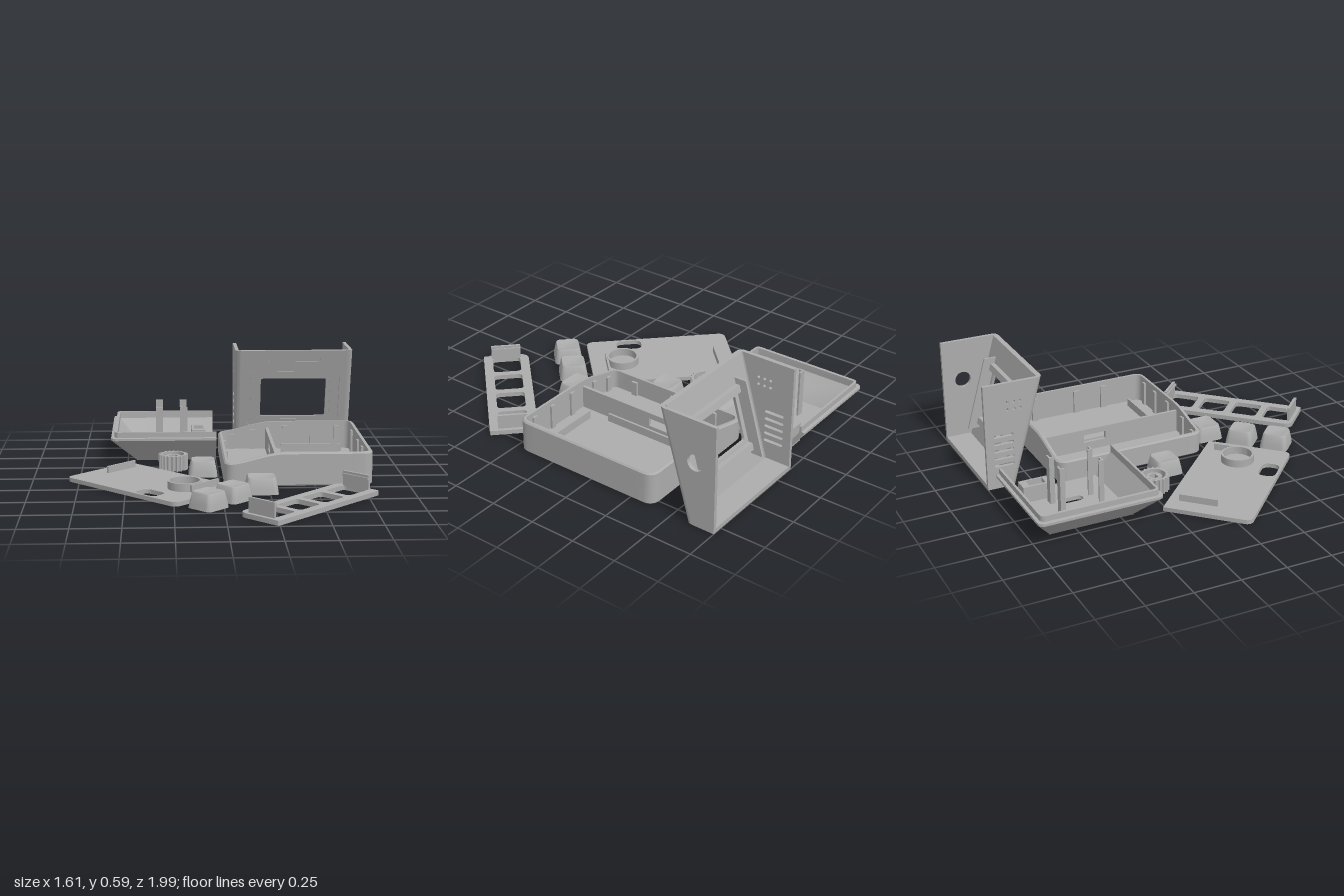
import * as THREE from 'three';
import { toCreasedNormals } from 'three/addons/utils/BufferGeometryUtils.js';

const grey = new THREE.MeshStandardMaterial({ color: 0xacacac, side: THREE.DoubleSide });
grey.name = 'plain grey';

function add(parent, name, geo, x = 0, y = 0, z = 0) {
  const m = new THREE.Mesh(geo, grey);
  m.name = name;
  m.position.set(x, y, z);
  parent.add(m);
  return m;
}
function group(parent, name, x = 0, z = 0, ry = 0) {
  const g = new THREE.Group();
  g.name = name;
  g.position.set(x, 0, z);
  g.rotation.y = ry;
  parent.add(g);
  return g;
}
// box standing on height y0
const block = (p, name, w, h, d, x, y0, z) => add(p, name, new THREE.BoxGeometry(w, h, d), x, y0 + h / 2, z);

// rounded rectangle outline; r is one radius or one per corner (++, -+, --, +-)
function outline(cx, cy, w, h, r, seg = 5) {
  const pts = [], sx = [1, -1, -1, 1], sy = [1, 1, -1, -1];
  for (let c = 0; c < 4; c++) {
    const q = Array.isArray(r) ? r[c] : r;
    for (let i = 0; i <= seg; i++) {
      const a = (c + i / seg) * Math.PI / 2;
      pts.push(new THREE.Vector2(cx + sx[c] * (w / 2 - q) + q * Math.cos(a), cy + sy[c] * (h / 2 - q) + q * Math.sin(a)));
    }
  }
  return pts;
}
// split long edges so a curved height can follow them
function subdivide(pts, n) {
  return pts.flatMap((p, i) => {
    const q = pts[(i + 1) % pts.length];
    return p.distanceTo(q) < 0.1 ? [p] : Array.from({ length: n }, (_, k) => p.clone().lerp(q, k / n));
  });
}
function shape(pts, holes = []) {
  const s = new THREE.Shape(pts);
  holes.forEach(h => s.holes.push(new THREE.Path(h)));
  return s;
}
const solid = (s, depth) => toCreasedNormals(new THREE.ExtrudeGeometry(s, { depth, bevelEnabled: false, curveSegments: 24 }), 0.6);
// flat slab lying on y = 0 (shape y becomes z)
const slab = (s, h) => solid(s, h).rotateX(Math.PI / 2).translate(0, h, 0);

// skin through cross-sections of equal point count
function loft(rings, { closed = true, start = false, end = false } = {}) {
  const n = rings[0].length, pos = [];
  const tri = (...v) => v.forEach(p => pos.push(p.x, p.y, p.z));
  for (let i = 0; i + 1 < rings.length; i++) {
    for (let j = 0; j < (closed ? n : n - 1); j++) {
      const k = (j + 1) % n, a = rings[i], b = rings[i + 1];
      tri(a[j], b[j], a[k]);
      tri(b[j], b[k], a[k]);
    }
  }
  const fan = (r, flip) => {
    const c = r.reduce((s, p) => s.add(p), new THREE.Vector3()).divideScalar(n);
    r.forEach((p, j) => flip ? tri(c, r[(j + 1) % n], p) : tri(c, p, r[(j + 1) % n]));
  };
  if (start) fan(rings[0], false);
  if (end) fan(rings[rings.length - 1], true);
  const g = new THREE.BufferGeometry();
  g.setAttribute('position', new THREE.Float32BufferAttribute(pos, 3));
  return toCreasedNormals(g, 0.6);
}
const at = (pts, y) => pts.map(p => new THREE.Vector3(p.x, typeof y === 'function' ? y(p.x) : y, p.y));

// open tray with a stepped rim, divider, ribs and clips
function buildBase(root) {
  const g = group(root, 'baseTray');
  const top = x => 0.125 + 0.056 * THREE.MathUtils.smoothstep(x, 0.03, 0.34);
  const ring = (inset, y) => at(subdivide(outline(0.415, -0.21, 0.79 - 2 * inset, 0.86 - 2 * inset, 0.055 - inset), 14), y);
  add(g, 'trayShell', loft([ring(0.008, 0), ring(0, 0.008), ring(0, x => top(x) - 0.008), ring(0.008, top),
    ring(0.022, top), ring(0.022, 0.02)], { start: true, end: true }));
  const wall = shape(outline(-0.21, 0.08, 0.82, 0.13, 0), [outline(-0.31, 0.09, 0.13, 0.045, 0)]);
  add(g, 'divider', solid(wall, 0.018).rotateY(-Math.PI / 2), 0.314, 0, 0);
  for (const z of [-0.53, 0.1]) block(g, 'floorRib', 0.35, 0.05, 0.012, 0.555, 0.015, z);
  block(g, 'floorRib', 0.012, 0.05, 0.43, 0.342, 0.015, -0.215);
  for (const x of [0.1, 0.22, 0.41, 0.57, 0.71])
    for (const z of [-0.615, 0.195]) block(g, 'clip', 0.03, top(x) - 0.04, 0.018, x, 0.015, z);
  for (const z of [-0.47, -0.21, -0.04]) block(g, 'clip', 0.018, 0.14, 0.035, 0.785, 0.015, z);
  for (const z of [-0.47, -0.21, 0.05]) block(g, 'clip', 0.018, 0.085, 0.035, 0.048, 0.015, z);
}

// leaning screen surround with side walls and floor
function buildScreenFrame(root) {
  const g = group(root, 'screenFrame'), H = 0.59, lean = 0.17 / H, R = 0.03, z0 = -0.84;
  const shear = new THREE.Matrix4().set(1, 0, 0, 0, 0, 1, 0, 0, 0, lean, 1, 0, 0, 0, 0, 1);
  const panel = (name, pts, holes, depth, z) => add(g, name, solid(shape(pts, holes), depth).applyMatrix4(shear), 0, 0, z);
  const face = outline(0.4675, H / 2, 0.685 - 2 * R, H, 0);
  const window_ = outline(0.47, 0.297, 0.385, 0.235, 0.012);
  panel('frontFace', face, [outline(0.47, 0.295, 0.54, 0.355, 0.03), outline(0.467, 0.551, 0.31, 0.064, 0.018)], 0.012, z0 - 0.012);
  panel('innerFace', face, [window_], 0.016, z0 - 0.028);
  panel('recessStep', outline(0.47, 0.295, 0.505, 0.325, 0.025), [outline(0.47, 0.297, 0.43, 0.27, 0.015)], 0.006, z0 - 0.014);
  panel('screenHolder', outline(0.47, 0.297, 0.56, 0.34, 0), [outline(0.47, 0.297, 0.44, 0.27, 0)], 0.025, z0 - 0.052);
  for (const x of [0.245, 0.69]) panel('holderPost', outline(x, 0.3, 0.012, 0.4, 0), [], 0.07, z0 - 0.095);

  // side walls: drawn with shape x = z
  const side = [[-1, 0], [z0 - R, 0], [z0 - R + lean * H, H], [-1, H]].map(p => new THREE.Vector2(...p));
  const round = outline(-0.885, 0.357, 0.09, 0.09, 0.045, 6);
  const vents = [0, 1, 2, 3, 4].map(i => outline(-0.9, 0.13 + i * 0.042, 0.11, 0.016, 0.007, 3));
  for (let i = 0; i < 6; i++) vents.push(outline(-0.87 + (i % 3) * 0.035, 0.44 + Math.floor(i / 3) * 0.04, 0.016, 0.016, 0.008, 3));
  add(g, 'leftWall', solid(shape(side, [round]), 0.02).rotateY(-Math.PI / 2), 0.81);
  add(g, 'rightWall', solid(shape(side, vents), 0.02).rotateY(-Math.PI / 2), 0.145);

  // rounded edges joining the face to the walls
  for (const s of [1, -1]) {
    const arc = (r, y) => Array.from({ length: 7 }, (_, i) => {
      const a = (s > 0 ? i / 6 : 1 + i / 6) * Math.PI / 2;
      return new THREE.Vector3(0.4675 + s * (0.3425 - R) + r * Math.cos(a), y, z0 - R + lean * y + r * Math.sin(a));
    });
    add(g, 'roundedEdge', loft([arc(R, 0), arc(R, H), arc(0.008, H), arc(0.008, 0), arc(R, 0)], { closed: false }));
  }
  block(g, 'floor', 0.665, 0.025, 0.152, 0.4675, 0, -0.924);
}

// tapered rear shell, open at x = 0
function buildRearShell(root) {
  const g = group(root, 'rearShell');
  const ring = (x, zb, zf, r, y) => at(outline(x / 2, (zb + zf) / 2, -x, zf - zb, [0, r, r, 0], 5).slice(5, 19), y);
  const rings = [
    ring(-0.45, -0.89, -0.43, 0.01, 0), ring(-0.593, -0.995, -0.32, 0.03, 0.135), ring(-0.593, -0.995, -0.32, 0.03, 0.148),
    ring(-0.573, -0.978, -0.337, 0.025, 0.15), ring(-0.573, -0.978, -0.337, 0.025, 0.18),
    ring(-0.556, -0.965, -0.35, 0.015, 0.18), ring(-0.556, -0.965, -0.35, 0.015, 0.14), ring(-0.44, -0.88, -0.44, 0.005, 0.022)];
  add(g, 'taperedWalls', loft(rings, { closed: false }));
  const last = rings[0].length - 1;
  const cut = [...rings.map(r => r[0]), ...rings.map(r => r[last]).reverse()].map(p => new THREE.Vector2(-p.z, p.y));
  add(g, 'cutEdge', new THREE.ShapeGeometry(shape(cut)).rotateY(Math.PI / 2));
  const holes = [-0.345, -0.2].map(x => outline(x, -0.66, 0.05, 0.12, 0.024));
  holes.push(outline(-0.088, -0.815, 0.055, 0.09, 0));
  add(g, 'floor', slab(shape(outline(-0.225, -0.66, 0.45, 0.46, 0), holes), 0.022));
  add(g, 'socketBox', slab(shape(outline(-0.09, -0.815, 0.08, 0.165, 0), [outline(-0.088, -0.815, 0.055, 0.09, 0)]), 0.11));
  for (const x of [-0.32, -0.18]) for (const z of [-0.765, -0.555]) {
    const s = z < -0.66 ? -1 : 1;
    block(g, 'post', 0.04, 0.265, 0.01, x, 0.02, z + s * 0.01);
    block(g, 'post', 0.01, 0.265, 0.025, x - 0.015, 0.02, z);
  }
}

// flat cover with a ring, slot and two ribs
function buildCover(root) {
  const g = group(root, 'coverPlate', -0.365, 0.175, -Math.PI / 4);
  add(g, 'plate', slab(shape(outline(0, 0, 0.815, 0.47, [0.035, 0.035, 0.003, 0.003]), [outline(0.166, 0.173, 0.145, 0.095, 0.035)]), 0.023));
  add(g, 'ring', slab(shape(outline(0.226, -0.02, 0.18, 0.18, 0.09, 10), [outline(0.226, -0.02, 0.156, 0.156, 0.078, 10)]), 0.065));
  for (const x of [-0.31, 0.315]) block(g, 'rib', 0.012, 0.045, 0.205, x, 0.015, -0.076);
}

// strip with four key openings and an upright at each end
function buildKeyStrip(root) {
  const g = group(root, 'keyStrip', 0.435, 0.62, Math.PI / 4);
  const holes = [-0.29, -0.097, 0.097, 0.29].map(x => outline(x, 0, 0.155, 0.155, 0.02));
  add(g, 'strip', slab(shape(outline(0, 0, 0.8, 0.255, [0.008, 0.008, 0.045, 0.045]), holes), 0.025));
  for (const s of [1, -1]) {
    block(g, 'upright', 0.014, 0.085, 0.165, s * 0.373, 0.018, 0);
    block(g, 'uprightLip', 0.022, 0.012, 0.165, s * 0.369, 0.078, 0);
  }
}

// hollow keycap with dished top and stem
function buildKeycap(root, x, z, ry, w) {
  const g = group(root, 'keycap', x, z, ry);
  const ring = (inset, r, y) => at(outline(0, 0, w - 2 * inset, 0.157 - 2 * inset, r), y);
  add(g, 'cap', loft([ring(0.03, 0.01, 0.065), ring(0.016, 0.015, 0), ring(0, 0.025, 0), ring(0.004, 0.025, 0.03),
    ring(0.014, 0.024, 0.08), ring(0.018, 0.022, 0.085), ring(0.024, 0.018, 0.084), ring(0.05, 0.012, 0.078)], { start: true, end: true }));
  add(g, 'stem', new THREE.CylinderGeometry(0.025, 0.025, 0.06, 16), 0, 0.035, 0);
}

// toothed knob with hub
function buildKnob(root) {
  const g = group(root, 'knob', -0.245, -0.21);
  const teeth = Array.from({ length: 80 }, (_, i) => {
    const r = i % 4 < 2 ? 0.081 : 0.071, a = i / 80 * Math.PI * 2;
    return new THREE.Vector2(r * Math.cos(a), r * Math.sin(a));
  });
  add(g, 'toothedRim', slab(shape(teeth, [outline(0, 0, 0.12, 0.12, 0.06, 8)]), 0.085));
  add(g, 'disc', new THREE.CylinderGeometry(0.065, 0.065, 0.02, 32), 0, 0.011, 0);
  const hub = outline(0, 0, 0.08, 0.08, 0.04, 8), bore = outline(0, 0, 0.05, 0.05, 0.025, 8);
  bore.forEach(p => { p.y = Math.min(p.y, 0.014); });
  add(g, 'hub', slab(shape(hub, [bore]), 0.075));
}

export function createModel() {
  const root = new THREE.Group();
  root.name = 'computerCaseKit';
  buildBase(root);
  buildScreenFrame(root);
  buildRearShell(root);
  buildCover(root);
  buildKeyStrip(root);
  buildKnob(root);
  buildKeycap(root, -0.085, -0.07, 0, 0.157);
  buildKeycap(root, 0.207, 0.327, 0, 0.175);
  buildKeycap(root, 0.052, 0.485, Math.PI / 4, 0.157);
  buildKeycap(root, -0.078, 0.632, Math.PI / 4, 0.157);
  return root;
}
